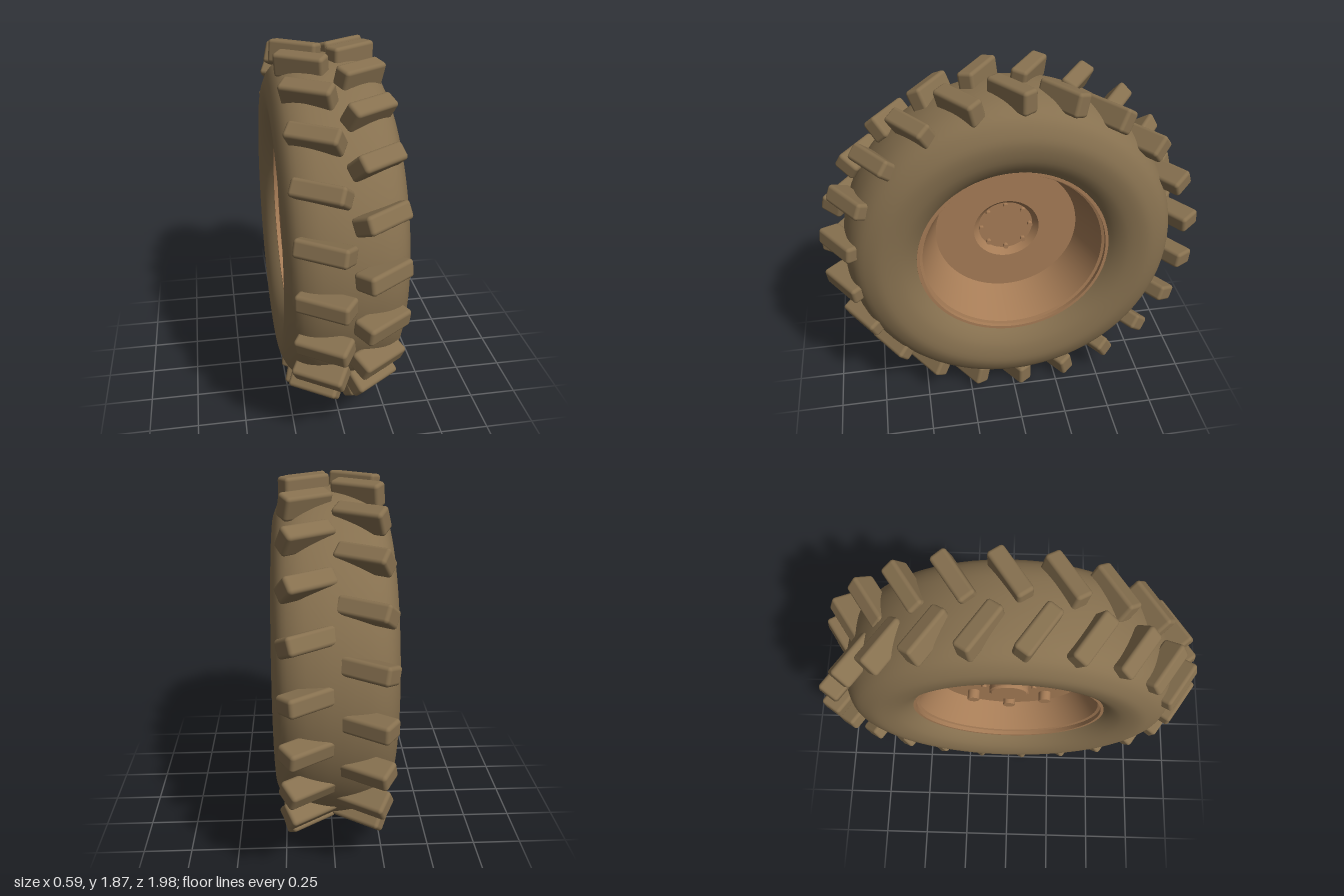
import * as THREE from 'three';
import { toCreasedNormals } from 'three/addons/utils/BufferGeometryUtils.js';
import { RoundedBoxGeometry } from 'three/addons/geometries/RoundedBoxGeometry.js';

const CENTRE_Y = 0.935;

export function createModel() {
  const rubber = new THREE.MeshStandardMaterial({ color: 0x86704f });
  rubber.name = 'brown rubber';
  const metal = new THREE.MeshStandardMaterial({ color: 0xa67c56 });
  metal.name = 'tan metal';

  const model = new THREE.Group();
  model.name = 'tractorWheel';
  const wheel = new THREE.Group();
  wheel.name = 'wheel';
  wheel.position.y = CENTRE_Y;
  model.add(wheel);

  const add = (name, geometry, material, parent = wheel) => {
    const mesh = new THREE.Mesh(geometry, material);
    mesh.name = name;
    parent.add(mesh);
    return mesh;
  };

  // Turns a profile of [radius, x] points about the axle
  const turn = (points, segments) =>
    new THREE.LatheGeometry(points, segments).rotateZ(-Math.PI / 2);

  // Tyre carcass: smooth, bulging sidewalls and a slightly crowned tread
  const half = [[0.5, 0.215], [0.54, 0.25], [0.6, 0.281], [0.685, 0.294],
    [0.75, 0.278], [0.81, 0.24], [0.85, 0.17], [0.868, 0.08]];
  const section = [
    ...half.map(([r, x]) => new THREE.Vector2(r, -x)),
    new THREE.Vector2(0.872, 0),
    ...half.slice().reverse().map(([r, x]) => new THREE.Vector2(r, x)),
  ];
  add('tyre', turn(new THREE.SplineCurve(section).getPoints(48), 80), rubber);

  // Rim, disc and hub in one profile, from the back of the hub to the front
  const rim = [
    [0, -0.125], [0.095, -0.125], [0.105, -0.115], [0.105, -0.075],
    [0.155, -0.075], [0.18, -0.048], [0.39, -0.048],
    [0.475, -0.195], [0.49, -0.2], [0.49, -0.222], [0.506, -0.222],
    [0.512, -0.2], [0.512, 0.2],
    [0.506, 0.222], [0.49, 0.222], [0.49, 0.2], [0.475, 0.195],
    [0.388, -0.03], [0.18, -0.03], [0.15, -0.065], [0, -0.065],
  ].map(([r, x]) => new THREE.Vector2(r, x));
  add('rim', toCreasedNormals(turn(rim, 72), 0.4), metal);

  // Rings of eight bolts
  const boltRing = (name, geometry, ringRadius, x) => {
    const ring = new THREE.Group();
    ring.name = name + 's';
    for (let i = 0; i < 8; i++) {
      const a = (i * Math.PI) / 4;
      add(name, geometry, metal, ring)
        .position.set(x, ringRadius * Math.sin(a), ringRadius * Math.cos(a));
    }
    wheel.add(ring);
  };
  const bolt = (radius, length, sides) =>
    toCreasedNormals(new THREE.CylinderGeometry(radius, radius, length, sides).rotateZ(Math.PI / 2), 0.7);
  boltRing('wheelNut', bolt(0.034, 0.06, 12), 0.285, -0.07);
  boltRing('hubBolt', bolt(0.014, 0.05, 12), 0.135, -0.07);

  // Chevron lugs: 22 on each side, staggered by half a step
  const lugGeometry = new RoundedBoxGeometry(0.265, 0.088, 0.12, 3, 0.018);
  const count = 22, lugRadius = 0.875;
  for (const side of [-1, 1]) {
    const lugs = new THREE.Group();
    lugs.name = side > 0 ? 'leftLugs' : 'rightLugs';
    for (let i = 0; i < count; i++) {
      const a = ((i + (side > 0 ? 0.5 : 0)) * 2 * Math.PI) / count;
      const lug = add('lug', lugGeometry, rubber, lugs);
      lug.position.set(side * 0.13, lugRadius * Math.sin(a), lugRadius * Math.cos(a));
      lug.rotation.set(-a, side * 0.6, 0, 'YXZ');
    }
    wheel.add(lugs);
  }
  return model;
}
